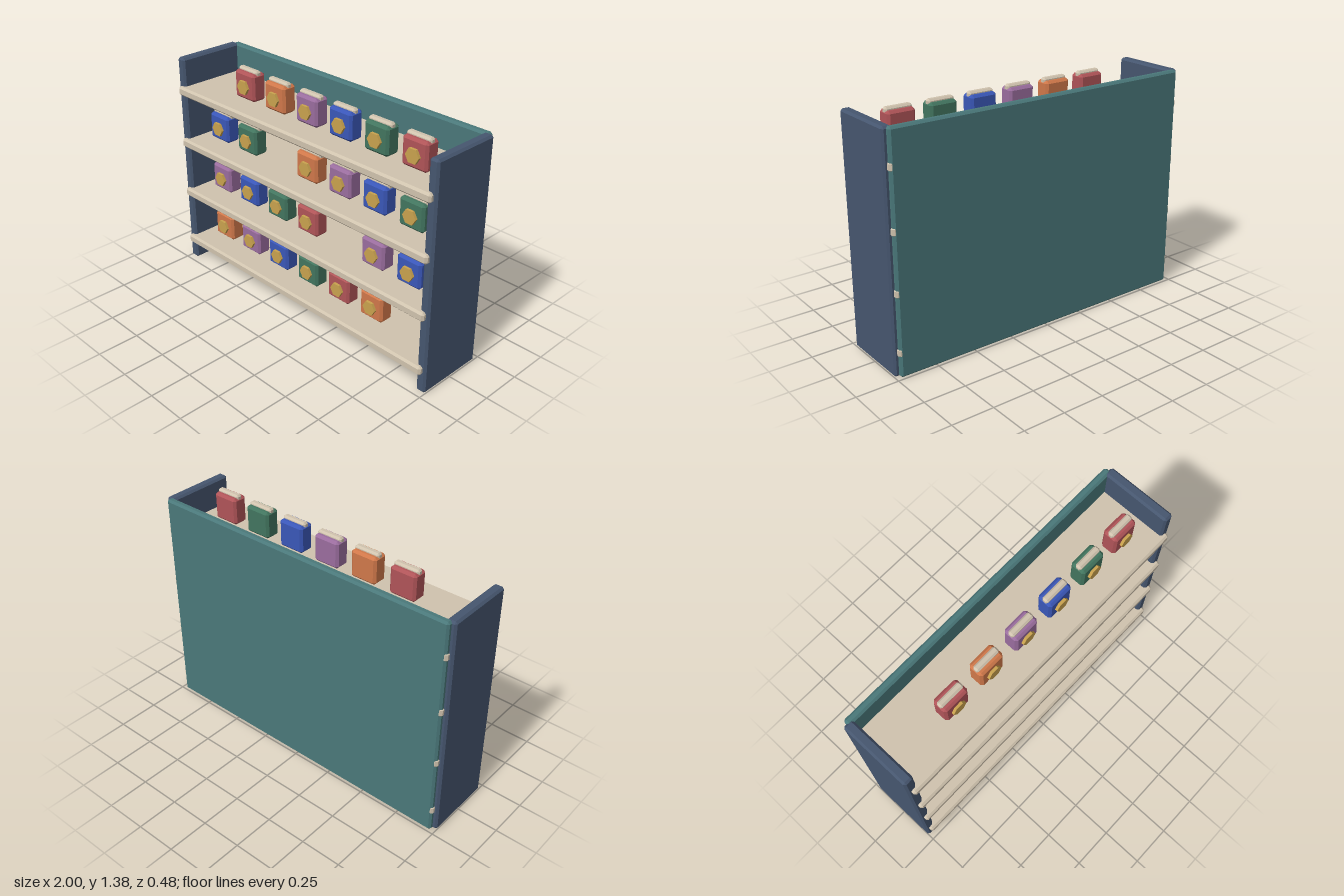
import * as THREE from 'three';
import { ConvexGeometry } from 'three/addons/geometries/ConvexGeometry.js';

const makeMaterial = (name, color) => {
  const m = new THREE.MeshStandardMaterial({ color });
  m.name = name;
  return m;
};

// Box with every edge cut by a flat bevel
function bevelBox(w, h, d, b) {
  const points = [];
  for (const x of [-1, 1]) for (const y of [-1, 1]) for (const z of [-1, 1]) {
    for (let axis = 0; axis < 3; axis++) {
      const inset = [b, b, b];
      inset[axis] = 0;
      points.push(new THREE.Vector3(
        x * (w / 2 - inset[0]), y * (h / 2 - inset[1]), z * (d / 2 - inset[2])));
    }
  }
  return new ConvexGeometry(points);
}

function addMesh(parent, name, geometry, material, x, y, z) {
  const mesh = new THREE.Mesh(geometry, material);
  mesh.name = name;
  mesh.position.set(x, y, z);
  parent.add(mesh);
  return mesh;
}

export function createModel() {
  const model = new THREE.Group();
  model.name = 'displayShelf';

  const teal = makeMaterial('teal', 0x4a787a);
  const navy = makeMaterial('navy', 0x46566f);
  const cream = makeMaterial('cream', 0xd0c3ae);
  const gold = makeMaterial('gold', 0xc9a24e);
  const boxColors = [
    makeMaterial('orange', 0xd0784a),
    makeMaterial('purple', 0x9a6d9e),
    makeMaterial('blue', 0x3a57b8),
    makeMaterial('green', 0x42755f),
    makeMaterial('red', 0xb05458),
  ];

  // Cabinet: back panel and two sides
  addMesh(model, 'backPanel', bevelBox(1.95, 1.37, 0.045, 0.012), teal, 0, 0.685, -0.2175);
  const side = bevelBox(0.06, 1.37, 0.428, 0.012);
  addMesh(model, 'leftSide', side, navy, 0.97, 0.685, 0);
  addMesh(model, 'rightSide', side, navy, -0.97, 0.685, 0);

  const shelf = bevelBox(1.96, 0.056, 0.478, 0.012);
  const body = bevelBox(0.166, 0.165, 0.094, 0.014);
  const cap = bevelBox(0.16, 0.04, 0.04, 0.01);
  const badge = new THREE.CylinderGeometry(0.045, 0.045, 0.018, 6).toNonIndexed();
  badge.rotateY(Math.PI / 6).rotateX(Math.PI / 2);
  // Turn the hexagon so its points face sideways
  badge.computeBoundingBox();
  const size = badge.boundingBox.getSize(new THREE.Vector3());
  if (size.x < size.y) badge.rotateZ(Math.PI / 6);
  badge.computeVertexNormals();

  // Four shelves, each with six boxes and one empty slot
  for (let row = 0; row < 4; row++) {
    const y = 0.145 + row * 0.341;
    addMesh(model, 'shelf', shelf, cream, 0, y, 0);
    for (let slot = 0; slot < 7; slot++) {
      if (slot === 6 - 2 * row) continue;
      const item = new THREE.Group();
      item.name = 'shelfBox';
      item.position.set(-0.781 + slot * 0.256, y + 0.117, 0.054);
      addMesh(item, 'boxBody', body, boxColors[(slot + row) % 5], 0, 0, 0);
      addMesh(item, 'boxCap', cap, cream, 0, 0.078, 0);
      addMesh(item, 'boxBadge', badge, gold, 0, -0.006, 0.054);
      model.add(item);
    }
  }
  return model;
}
